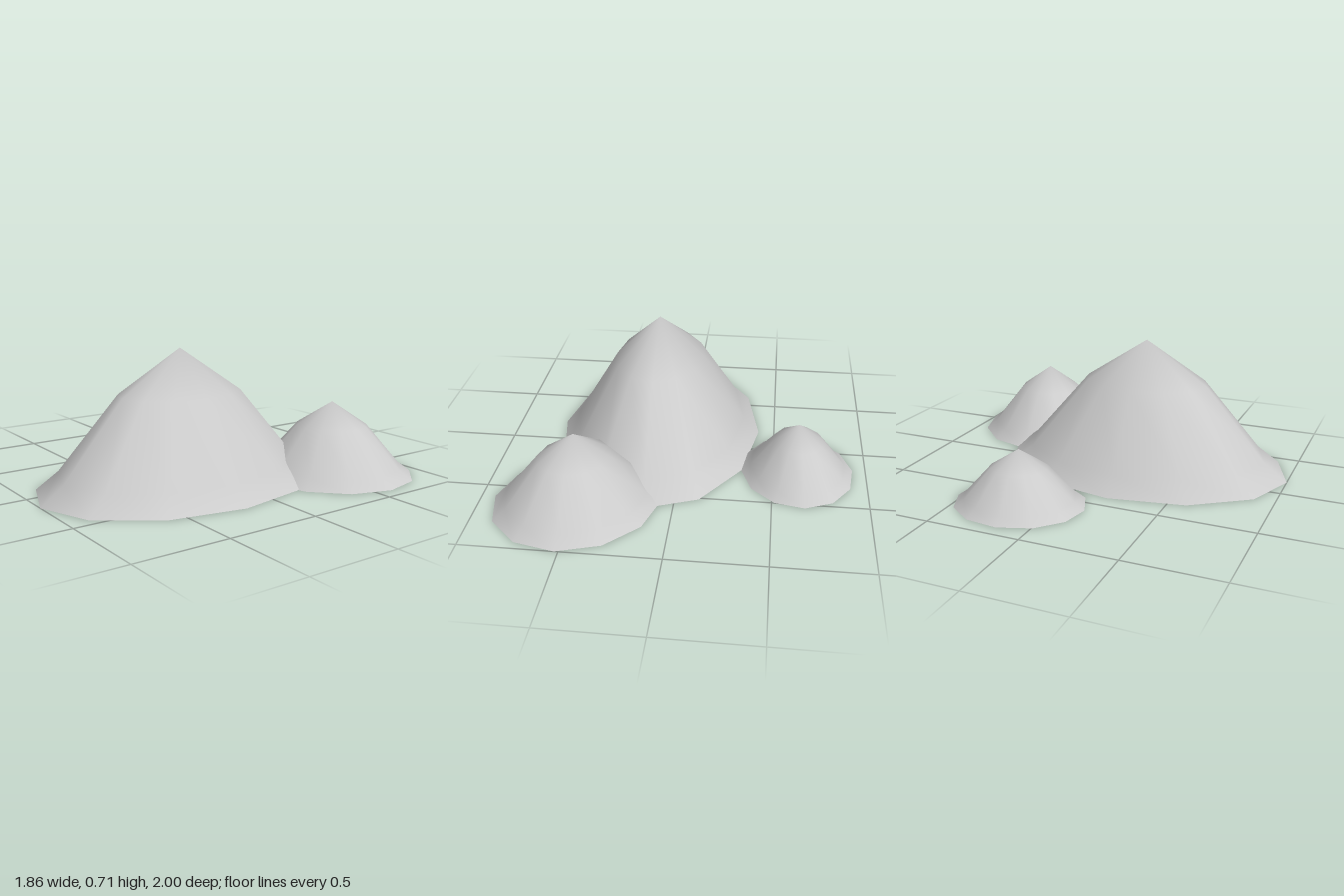
import * as THREE from 'three';
import { mergeVertices } from 'three/addons/utils/BufferGeometryUtils.js';

const SIDES = 12;

// Bell-shaped unit profile (radius, height), from the foot to the peak
const PROFILE = [[1, 0], [0.845, 0.13], [0.43, 0.675], [0, 1]].map(([r, y]) => new THREE.Vector2(r, y));

// Unit mound with one shared vertex per corner, so the slope and peak shade smoothly
function slopeGeometry() {
  const lathe = new THREE.LatheGeometry(PROFILE, SIDES);
  lathe.deleteAttribute('uv');
  lathe.deleteAttribute('normal');
  return mergeVertices(lathe, 1e-4);
}

// One mound: across and along are the (x, z) half-axes of its slightly skewed oval foot
function createMound(name, [x, z], height, across, along, material) {
  const shape = new THREE.Matrix4().makeBasis(
    new THREE.Vector3(across[0], 0, across[1]),
    new THREE.Vector3(0, height, 0),
    new THREE.Vector3(along[0], 0, along[1])
  );

  const slope = slopeGeometry().applyMatrix4(shape);
  slope.computeVertexNormals();
  const slopeMesh = new THREE.Mesh(slope, material);
  slopeMesh.name = name + 'Slope';

  // Flat underside
  const base = new THREE.CircleGeometry(1, SIDES).rotateX(Math.PI / 2).applyMatrix4(shape);
  const baseMesh = new THREE.Mesh(base, material);
  baseMesh.name = name + 'Base';

  const mound = new THREE.Group();
  mound.name = name;
  mound.add(slopeMesh, baseMesh);
  mound.position.set(x, 0, z);
  return mound;
}

export function createModel() {
  const material = new THREE.MeshStandardMaterial({ color: 0xcccccc });
  const model = new THREE.Group();
  model.name = 'mounds';
  model.add(
    createMound('largeMound', [0.16, 0.19], 0.71, [0.57, 0], [0, 0.81], material),
    createMound('mediumMound', [0.5, -0.575], 0.395, [0.43, -0.02], [-0.02, 0.425], material),
    createMound('smallMound', [-0.63, -0.19], 0.29, [0.3, -0.03], [0.04, 0.34], material)
  );
  return model;
}
